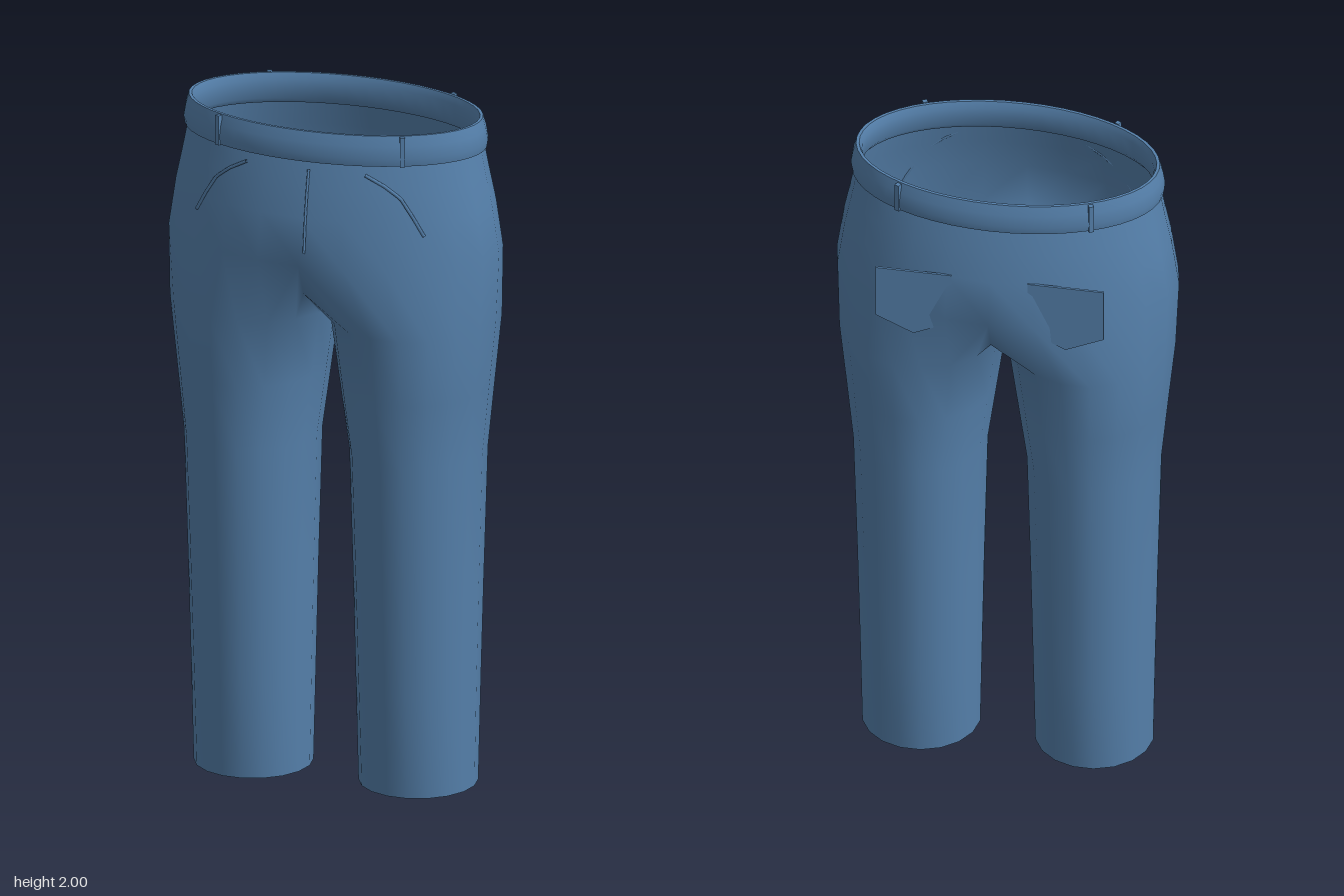
import * as THREE from 'three';
import { mergeGeometries, mergeVertices, toCreasedNormals } from 'three/addons/utils/BufferGeometryUtils.js';

const V = (x, y, z) => new THREE.Vector3(x, y, z);

// Skin closed rings of points, listed from top to bottom
function loft(rings) {
  const n = rings[0].length, index = [];
  for (let i = 0; i < rings.length - 1; i++) {
    for (let j = 0; j < n; j++) {
      const a = i * n + j, b = i * n + (j + 1) % n;
      index.push(a, b, a + n, b, b + n, a + n);
    }
  }
  const g = new THREE.BufferGeometry().setFromPoints(rings.flat());
  g.setIndex(index);
  return g;
}

function ellipse(y, rx, rz, n, cx = 0) {
  return Array.from({ length: n }, (_, i) => {
    const a = i / n * Math.PI * 2;
    return V(cx + rx * Math.cos(a), y, rz * Math.sin(a));
  });
}

// Hip levels: y, half width, half depth
const HIPS = [[1.93, 0.438, 0.252], [1.84, 0.455, 0.272], [1.75, 0.474, 0.288], [1.61, 0.495, 0.304]];
// Leg levels: y, inner x, outer x, half depth
const LEGS = [[1.4, 0.002, 0.485, 0.263], [1.2, 0.03, 0.464, 0.246], [1.0, 0.058, 0.444, 0.227],
  [0.6, 0.068, 0.433, 0.205], [0.3, 0.074, 0.426, 0.19], [0, 0.08, 0.42, 0.174]];
const LEG_SIDES = 18, HIP_SIDES = 24;

// Point on the front of the hips
function onHips(x, y) {
  let i = 0;
  while (i < HIPS.length - 2 && y < HIPS[i + 1][0]) i++;
  const [y0, w0, d0] = HIPS[i], [y1, w1, d1] = HIPS[i + 1];
  const t = (y - y0) / (y1 - y0);
  const w = w0 + (w1 - w0) * t, d = d0 + (d1 - d0) * t;
  return V(x, y, d * Math.sqrt(1 - (x / w) ** 2) + 0.003);
}

// Leg: the top ring follows half of the hip ring, then dips through the crotch
function legGeometry(side) {
  const [hy, hw, hd] = HIPS[HIPS.length - 1];
  const top = [];
  for (let j = 0; j < LEG_SIDES; j++) {
    let deg = j * 360 / LEG_SIDES;
    if (deg > 180) deg -= 360;
    if (Math.abs(deg) <= 120) {
      const a = THREE.MathUtils.degToRad(deg * 0.75);
      top.push(V(hw * Math.cos(a), hy, hd * Math.sin(a)));
    } else {
      const t = (Math.abs(deg) - 120) / 120 * Math.PI;
      top.push(V(0, hy - 0.19 * Math.sin(t), Math.sign(deg) * hd * Math.cos(t)));
    }
  }
  const rings = [top, ...LEGS.map(([y, xi, xo, d]) =>
    ellipse(y, (xo - xi) / 2, d, LEG_SIDES, (xo + xi) / 2))];
  if (side < 0) {
    for (const ring of rings) {
      ring.forEach(p => { p.x = -p.x; });
      ring.reverse();
    }
  }
  return loft(rings);
}

export function createModel() {
  const group = new THREE.Group();
  group.name = 'trousers';
  const denim = new THREE.MeshStandardMaterial({ color: 0x5580ab, side: THREE.DoubleSide });
  denim.name = 'denim blue';
  const add = (name, geometry) => {
    const mesh = new THREE.Mesh(geometry, denim);
    mesh.name = name;
    group.add(mesh);
    return mesh;
  };

  // Hips and legs as one smooth cloth shell
  const hips = loft(HIPS.map(([y, w, d]) => ellipse(y, w, d, HIP_SIDES)));
  const body = mergeVertices(mergeGeometries([hips, legGeometry(1), legGeometry(-1)]), 1e-4);
  body.computeVertexNormals();
  add('hipsAndLegs', body);

  // Waistband with an inner wall
  const profile = [[0.428, 0.243, 2.0], [0.437, 0.252, 2.0], [0.446, 0.261, 1.97], [0.452, 0.267, 1.935],
    [0.448, 0.263, 1.912], [0.43, 0.245, 1.91], [0.42, 0.235, 1.925], [0.42, 0.235, 1.98], [0.428, 0.243, 2.0]];
  const band = loft(profile.map(([w, d, y]) => ellipse(y, w, d, 48)));
  add('waistband', toCreasedNormals(band, 0.8));

  // Belt loops
  for (const sx of [1, -1]) {
    for (const sz of [1, -1]) {
      const loop = add('beltLoop', new THREE.BoxGeometry(0.014, 0.088, 0.014));
      loop.position.set(sx * 0.279, 1.955, sz * 0.206);
      loop.rotation.y = sx * sz * 0.45;
    }
  }

  for (const s of [1, -1]) {
    // Back patch pocket
    const shape = new THREE.Shape([[0.11, 1.755], [0.33, 1.755], [0.33, 1.59], [0.22, 1.54], [0.11, 1.59]]
      .map(([x, y]) => new THREE.Vector2(s * x, y)));
    const pocket = add('backPocket', new THREE.ExtrudeGeometry(shape, { depth: 0.007, bevelEnabled: false }));
    pocket.position.z = -0.282;

    // Front pocket seam
    const seam = new THREE.CurvePath();
    const pts = [[0.18, 1.885], [0.235, 1.855], [0.28, 1.82], [0.315, 1.765], [0.345, 1.71]]
      .map(([x, y]) => onHips(s * x, y));
    for (let i = 1; i < pts.length; i++) seam.add(new THREE.LineCurve3(pts[i - 1], pts[i]));
    add('frontPocketSeam', new THREE.TubeGeometry(seam, 16, 0.005, 6));
  }

  // Fly seam
  const fly = [1.89, 1.83, 1.75, 1.65].map(y => onHips(0.016, y));
  add('flySeam', new THREE.TubeGeometry(new THREE.CatmullRomCurve3(fly), 12, 0.004, 6));

  return group;
}
